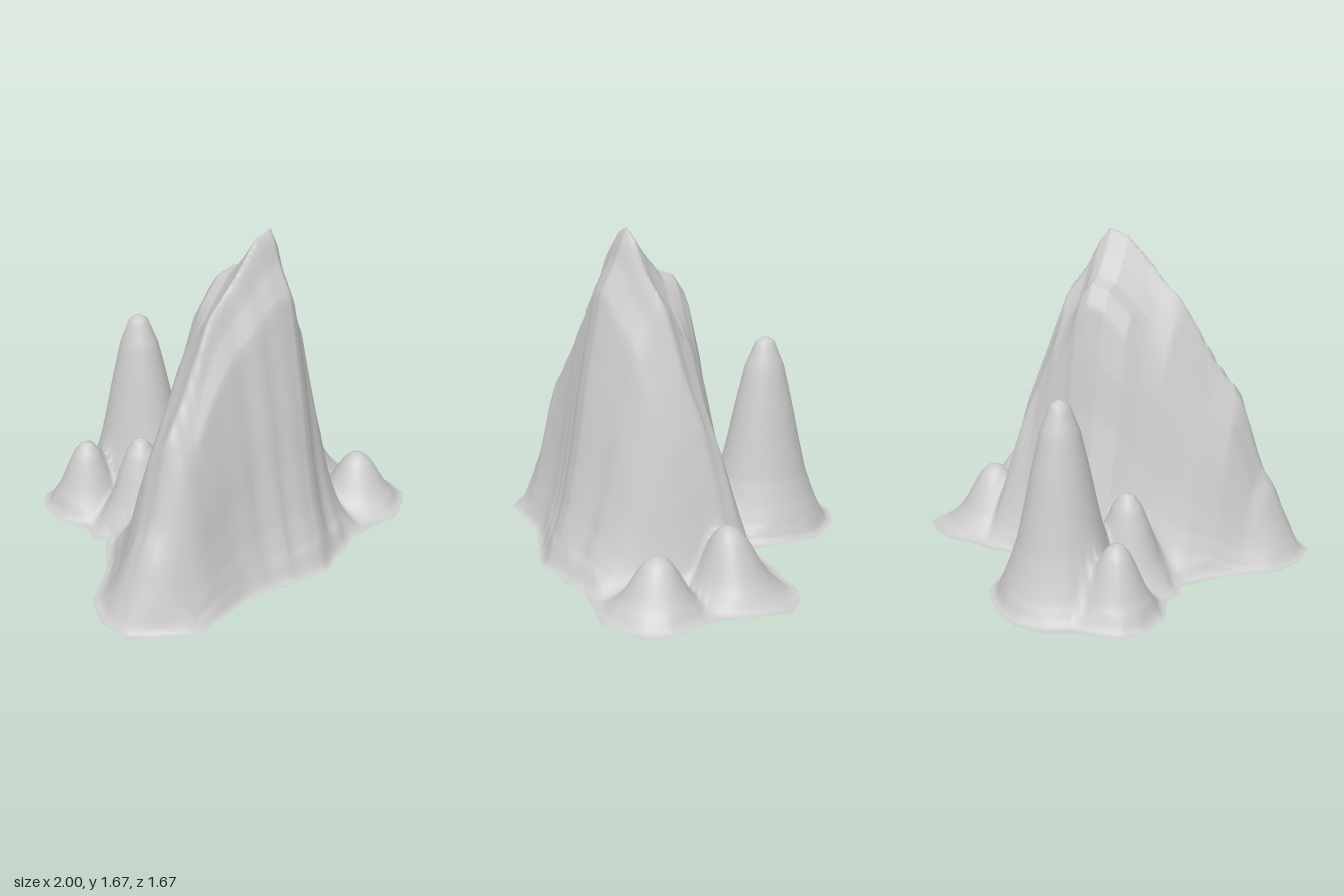
import * as THREE from 'three';

// Piecewise-linear lookup: rows of [key, value, ...], reading column c
function lookup(rows, k, c = 1) {
  if (k <= rows[0][0]) return rows[0][c];
  for (let i = 1; i < rows.length; i++) {
    const a = rows[i - 1], b = rows[i];
    if (k <= b[0]) return THREE.MathUtils.lerp(a[c], b[c], (k - a[0]) / (b[0] - a[0]));
  }
  return rows[rows.length - 1][c];
}

// Foot outline of the rock, as [x, z]
const OUTLINE = [
  [-0.12, -0.84], [0.04, -0.84], [0.18, -0.77], [0.27, -0.67], [0.33, -0.58], [0.34, -0.42],
  [0.31, -0.22], [0.44, -0.21], [0.55, -0.22], [0.69, -0.2], [0.79, -0.21], [0.91, -0.16],
  [1, -0.07], [0.96, 0.12], [0.92, 0.28], [0.98, 0.52], [0.94, 0.65], [0.85, 0.71],
  [0.71, 0.77], [0.55, 0.74], [0.38, 0.73], [0.27, 0.78], [0.17, 0.79], [0.07, 0.83],
  [-0.02, 0.81], [-0.13, 0.78], [-0.38, 0.71], [-0.76, 0.73], [-1, 0.52], [-1, 0.35],
  [-0.93, 0.2], [-0.69, 0.03], [-0.53, -0.16], [-0.56, -0.22], [-0.53, -0.32],
  [-0.58, -0.47], [-0.55, -0.64], [-0.47, -0.73], [-0.23, -0.78],
];

// Main ridge: [x, crest height, crest z, front foot z, back foot z, fullness of the back]
const RIDGE = [
  [-1, 0, 0.44, 0.52, 0.35, 0], [-0.93, 0.08, 0.45, 0.6, 0.2, 0], [-0.87, 0.21, 0.45, 0.66, 0.14, 0],
  [-0.8, 0.38, 0.45, 0.71, 0.1, 0], [-0.74, 0.47, 0.44, 0.73, 0.06, 0.05], [-0.62, 0.86, 0.42, 0.73, -0.03, 0.1],
  [-0.5, 1.01, 0.4, 0.73, -0.13, 0.15], [-0.3, 1.34, 0.36, 0.73, -0.19, 0.4], [-0.2, 1.43, 0.36, 0.74, -0.22, 0.7],
  [-0.12, 1.52, 0.37, 0.8, -0.26, 0.95], [0, 1.64, 0.36, 0.82, -0.28, 1], [0.1, 1.67, 0.36, 0.83, -0.26, 1],
  [0.15, 1.61, 0.34, 0.81, -0.25, 0.95], [0.2, 1.49, 0.32, 0.79, -0.23, 0.85], [0.3, 1.33, 0.26, 0.77, -0.2, 0.45],
  [0.4, 1.01, 0.21, 0.74, -0.2, 0.1], [0.47, 0.78, 0.15, 0.7, -0.2, 0], [0.53, 0.52, 0.11, 0.64, -0.2, 0],
  [0.6, 0.18, 0.07, 0.52, -0.2, 0], [0.68, 0, 0.05, 0.45, -0.2, 0],
];
const FACE_FALL = [[0, 1], [0.05, 0.975], [0.125, 0.91], [0.29, 0.82], [0.4, 0.66], [0.5, 0.51],
  [0.6, 0.33], [0.71, 0.18], [0.81, 0.09], [1, 0]];
// Back face with a high, broad shoulder
const SHOULDER_FALL = [[0, 1], [0.12, 0.93], [0.25, 0.87], [0.375, 0.855], [0.47, 0.8], [0.56, 0.65],
  [0.64, 0.48], [0.72, 0.36], [0.8, 0.25], [0.875, 0.14], [1, 0]];
const PEAK_FALL = [[0, 1], [0.13, 0.97], [0.27, 0.84], [0.4, 0.63], [0.5, 0.45], [0.6, 0.29],
  [0.7, 0.18], [0.8, 0.09], [0.9, 0.03], [1, 0]];

// Round peaks: centre x, z, height, and radii along x, back and front
const PEAKS = [
  { x: -0.01, z: -0.445, h: 1.03, rx: 0.36, rb: 0.38, rf: 0.4 },   // tall back peak
  { x: -0.25, z: -0.19, h: 0.48, rx: 0.29, rb: 0.25, rf: 0.3 },    // rear ledge
  { x: -0.34, z: -0.51, h: 0.37, rx: 0.26, rb: 0.27, rf: 0.26 },   // small back hill
  { x: 0.68, z: 0.11, h: 0.34, rx: 0.31, rb: 0.32, rf: 0.24 },     // side hill
  { x: 0.72, z: 0.48, h: 0.275, rx: 0.28, rb: 0.26, rf: 0.29 },    // front side hill
];

function ridgeHeight(x, z) {
  const crest = lookup(RIDGE, x, 2);
  // shallow vertical flutes on the faces
  const flute = 1 + 0.02 * Math.sin(x * 19) + 0.012 * Math.sin(x * 41 + 1);
  const height = lookup(RIDGE, x, 1);
  if (z > crest) return height * lookup(FACE_FALL, (z - crest) / ((lookup(RIDGE, x, 3) - crest) * flute));
  const u = (crest - z) / (crest - lookup(RIDGE, x, 4));
  const full = lookup(RIDGE, x, 5);
  return height * THREE.MathUtils.lerp(lookup(FACE_FALL, u), lookup(SHOULDER_FALL, u), full);
}

function peakHeight(p, x, z) {
  const d = Math.hypot((x - p.x) / p.rx, (z - p.z) / (z < p.z ? p.rb : p.rf));
  return p.h * lookup(PEAK_FALL, d);
}

// Soft maximum of all the landforms
function heightAt(x, z) {
  let sum = ridgeHeight(x, z) ** 6;
  for (const p of PEAKS) sum += peakHeight(p, x, z) ** 6;
  return sum ** (1 / 6);
}

function mountainGeometry() {
  const rim = [], steps = 6, rings = 90;
  OUTLINE.forEach((a, i) => {
    const b = OUTLINE[(i + 1) % OUTLINE.length];
    for (let s = 0; s < steps; s++) {
      const t = s / steps;
      rim.push([a[0] + (b[0] - a[0]) * t, a[1] + (b[1] - a[1]) * t]);
    }
  });
  const n = rim.length, pos = [0, heightAt(0, 0), 0], index = [];
  for (let r = 1; r <= rings; r++) {
    for (const [rx, rz] of rim) {
      const x = rx * r / rings, z = rz * r / rings;
      // settle to the ground at the rim
      let edge = 1;
      for (const q of rim) edge = Math.min(edge, Math.hypot(q[0] - x, q[1] - z));
      pos.push(x, heightAt(x, z) * THREE.MathUtils.smoothstep(edge, 0, 0.07), z);
    }
  }
  for (let j = 0; j < n; j++) {
    const k = (j + 1) % n;
    index.push(0, 1 + k, 1 + j);
    for (let r = 0; r < rings - 1; r++) {
      const a = 1 + r * n, b = a + n;
      index.push(a + j, a + k, b + j, a + k, b + k, b + j);
    }
  }
  const geo = new THREE.BufferGeometry();
  geo.setAttribute('position', new THREE.Float32BufferAttribute(pos, 3));
  geo.setIndex(index);
  geo.computeVertexNormals();
  return geo;
}

export function createModel() {
  const group = new THREE.Group();
  group.name = 'mountain';
  // Open shell without an underside
  const rock = new THREE.Mesh(
    mountainGeometry(),
    new THREE.MeshStandardMaterial({ color: 0xcccccc, side: THREE.DoubleSide }),
  );
  rock.name = 'mountainSurface';
  group.add(rock);
  return group;
}
